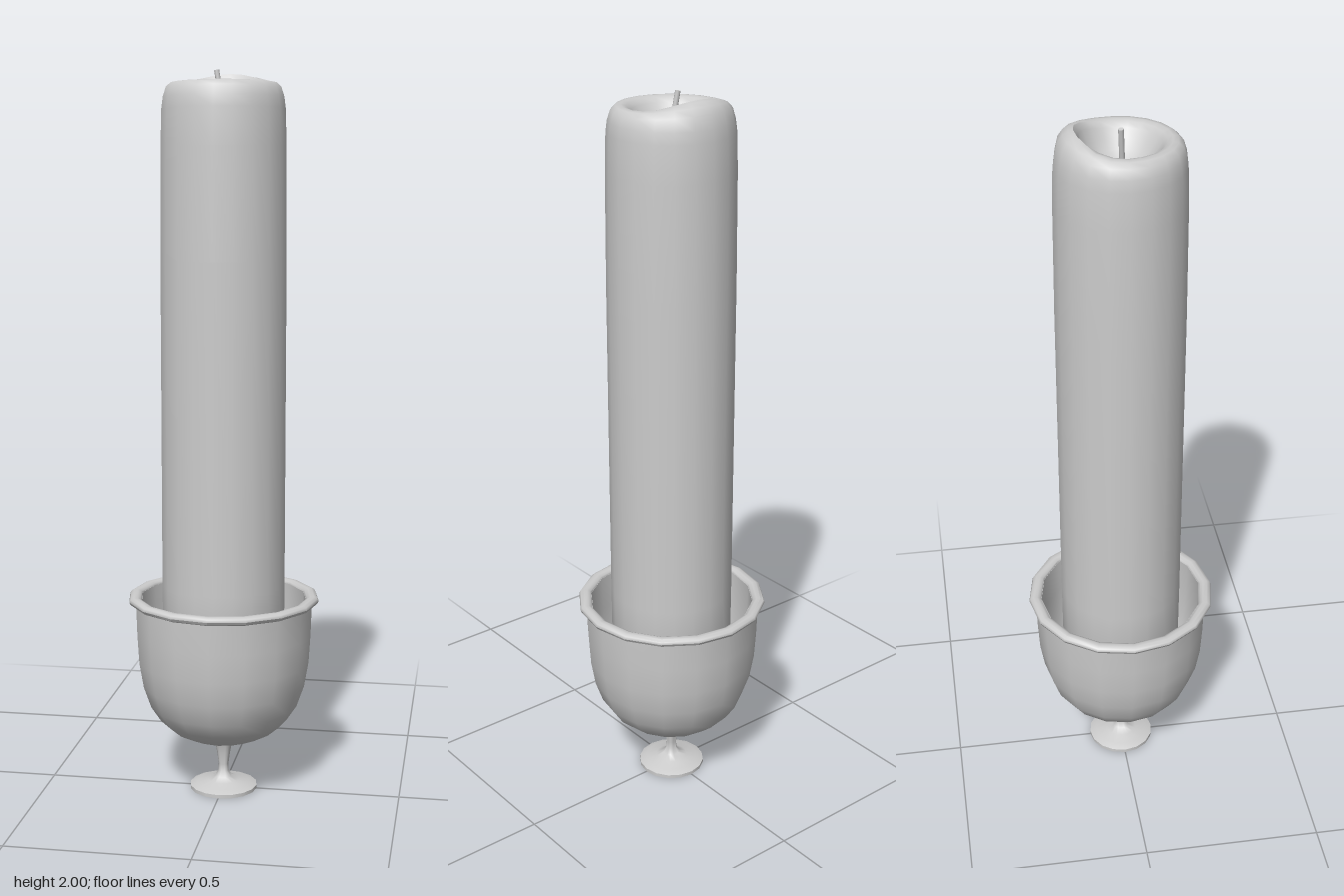
import * as THREE from 'three';
import { toCreasedNormals } from 'three/addons/utils/BufferGeometryUtils.js';

const material = new THREE.MeshStandardMaterial({ color: 0xcccccc, roughness: 0.8 });

// Turned part from [radius, height] pairs, running from the underside up the outside and back in
function turned(name, profile, sides, reshape) {
  const geometry = new THREE.LatheGeometry(profile.map(([r, y]) => new THREE.Vector2(r, y)), sides);
  if (reshape) reshape(geometry.attributes.position);
  const mesh = new THREE.Mesh(toCreasedNormals(geometry, 0.9), material);
  mesh.name = name;
  return mesh;
}

// The melted lip rises towards the back
function raiseBackLip(position) {
  for (let i = 0; i < position.count; i++) {
    const x = position.getX(i), y = position.getY(i), z = position.getZ(i);
    const r = Math.hypot(x, z);
    if (y < 1.94 || r < 0.07) continue;
    const back = Math.max(0, -z / r);
    const nearCrest = Math.max(0, 1 - Math.abs(r - 0.115) / 0.06);
    position.setY(i, y + 0.032 * back * back * nearCrest);
  }
}

export function createModel() {
  const group = new THREE.Group();
  group.name = 'candleInHolder';

  // Small foot flaring into a thin stem
  group.add(turned('footAndStem', [
    [0, 0], [0.095, 0], [0.095, 0.01], [0.075, 0.018], [0.045, 0.024], [0.024, 0.034],
    [0.015, 0.05], [0.014, 0.07], [0.019, 0.105], [0.024, 0.13], [0.032, 0.15],
  ], 16));

  // Deep cup with wall thickness
  group.add(turned('cup', [
    [0, 0.145], [0.035, 0.147], [0.1, 0.157], [0.145, 0.178], [0.18, 0.208], [0.208, 0.25],
    [0.229, 0.31], [0.241, 0.38], [0.246, 0.46], [0.249, 0.555],
    [0.232, 0.56], [0.23, 0.46], [0.225, 0.38], [0.213, 0.31], [0.193, 0.255],
    [0.165, 0.215], [0.13, 0.188], [0.09, 0.172], [0, 0.165],
  ], 16));

  // Rolled rim of the cup
  const rim = [];
  for (let i = 0; i <= 10; i++) {
    const a = (i / 10) * Math.PI * 2;
    rim.push([0.25 + 0.018 * Math.cos(a), 0.558 + 0.012 * Math.sin(a)]);
  }
  group.add(turned('rim', rim, 16));

  // Candle with a rounded shoulder and a melted hollow
  group.add(turned('candle', [
    [0, 0.17], [0.13, 0.19], [0.17, 0.24], [0.172, 0.6], [0.172, 1.5], [0.17, 1.8],
    [0.167, 1.9], [0.163, 1.93], [0.155, 1.955], [0.142, 1.967], [0.128, 1.969], [0.115, 1.965],
    [0.103, 1.953], [0.09, 1.933], [0.07, 1.91], [0.045, 1.89], [0.02, 1.878], [0, 1.875],
  ], 20, raiseBackLip));

  // Slightly leaning wick
  const base = new THREE.Vector3(0.004, 1.865, 0.006);
  const tip = new THREE.Vector3(-0.019, 2, -0.002);
  const lean = tip.clone().sub(base);
  const wick = new THREE.Mesh(new THREE.CylinderGeometry(0.007, 0.007, lean.length(), 8), material);
  wick.name = 'wick';
  wick.position.copy(base).add(tip).multiplyScalar(0.5);
  wick.quaternion.setFromUnitVectors(new THREE.Vector3(0, 1, 0), lean.normalize());
  group.add(wick);

  return group;
}
